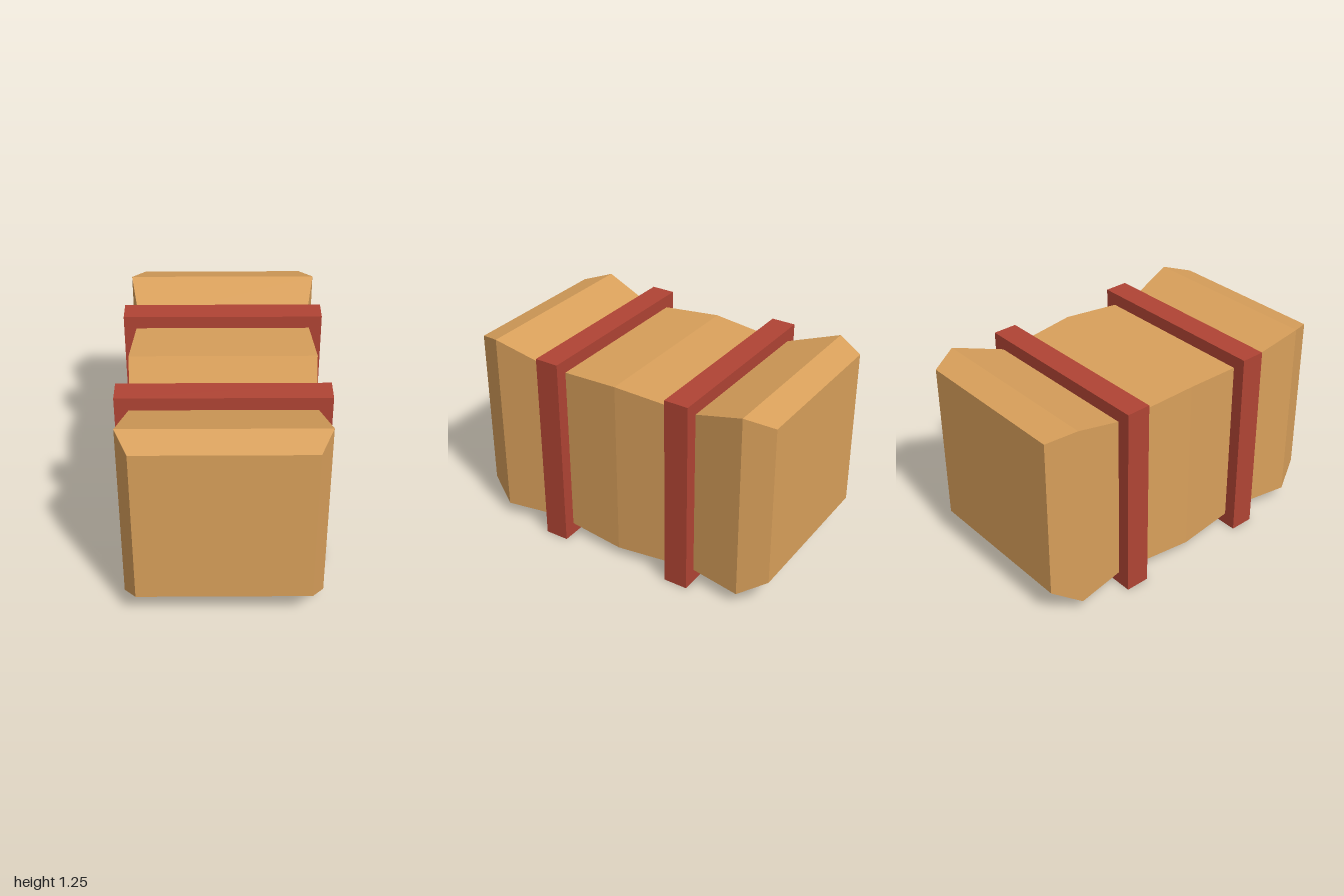
import * as THREE from 'three';

// Loft of rectangular sections [z, halfWidth, bottom, top], ordered back to front
function loftBox(sections) {
  const rings = sections.map(([z, w, b, t]) => [[-w, b, z], [w, b, z], [w, t, z], [-w, t, z]]);
  const pos = [];
  const quad = (a, b, c, d) => pos.push(...a, ...b, ...c, ...a, ...c, ...d);
  for (let i = 0; i < rings.length - 1; i++) {
    const r = rings[i], s = rings[i + 1];
    for (let k = 0; k < 4; k++) {
      const n = (k + 1) % 4;
      quad(r[k], r[n], s[n], s[k]);
    }
  }
  const [a, b, c, d] = rings[0];
  quad(d, c, b, a);
  quad(...rings[rings.length - 1]);
  const geo = new THREE.BufferGeometry();
  geo.setAttribute('position', new THREE.Float32BufferAttribute(pos, 3));
  geo.computeVertexNormals();
  return geo;
}

export function createModel() {
  const group = new THREE.Group();
  const wood = new THREE.MeshStandardMaterial({ color: 0xd9a05b, flatShading: true });
  const red = new THREE.MeshStandardMaterial({ color: 0xb04434, flatShading: true });

  // Block with chamfered ends, pinched under each band and bulging in the middle
  const half = [
    [1, 0.505, 0.185, 1.195],
    [0.835, 0.582, 0.082, 1.245],
    [0.49, 0.523, 0.084, 1.132],
  ];
  const back = half.map(([z, ...rest]) => [-z, ...rest]);
  const body = new THREE.Mesh(
    loftBox([...back, [0, 0.558, 0.055, 1.168], ...half.slice().reverse()]), wood);
  body.name = 'body';
  group.add(body);

  // Two square bands, which the model stands on
  for (const [name, side] of [['frontBand', 1], ['backBand', -1]]) {
    const band = new THREE.Mesh(new THREE.BoxGeometry(1.215, 1.22, 0.15), red);
    band.name = name;
    band.position.set(0, 0.61, side * 0.44);
    group.add(band);
  }
  return group;
}
